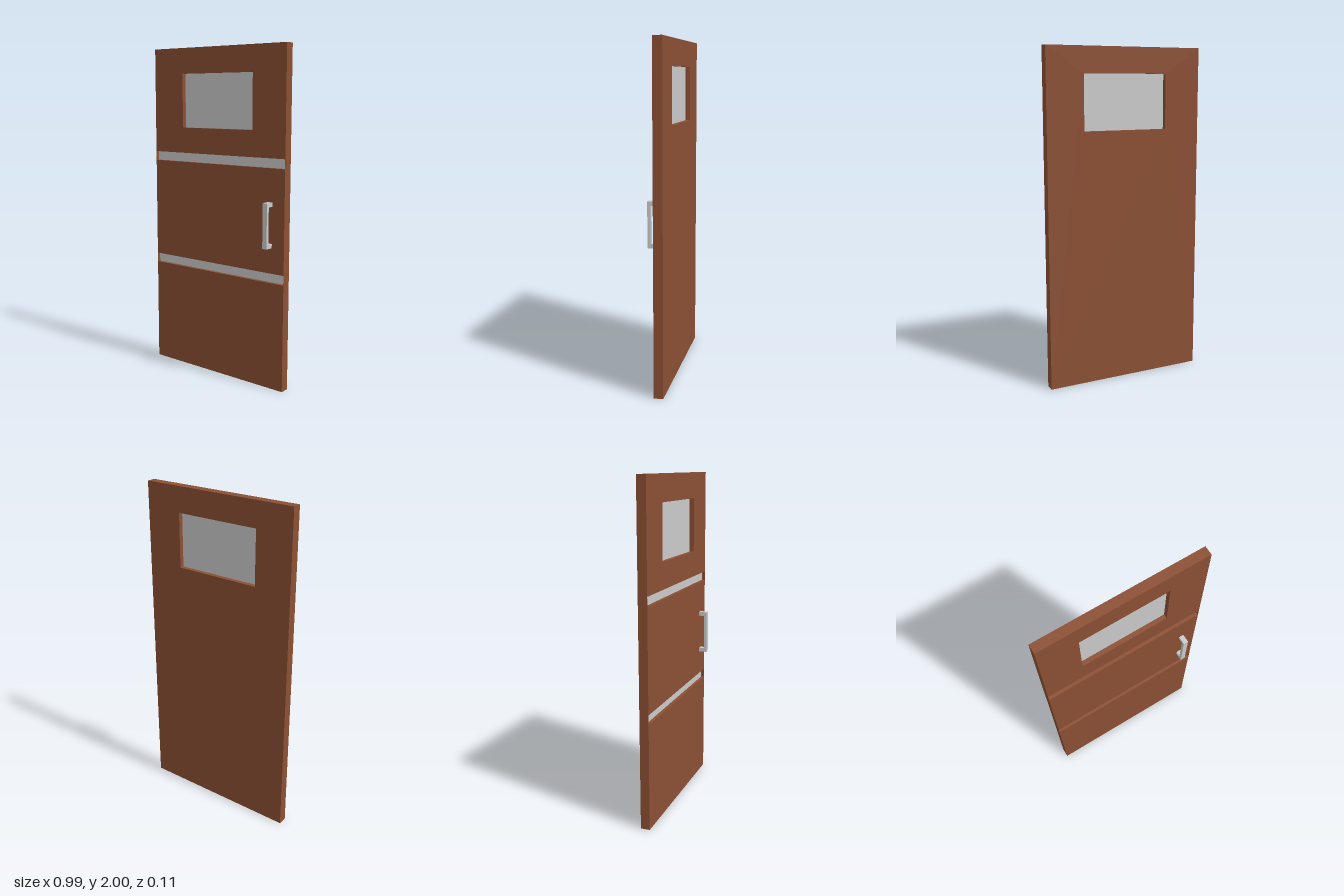
import * as THREE from 'three';
import { mergeGeometries } from 'three/addons/utils/BufferGeometryUtils.js';

const BACK = -0.055, FLOOR = -0.02, EDGE = 0.495;
const outline = [-EDGE, 0, EDGE, 2];               // x0, y0, x1, y1
const windowRect = [-0.266, 1.52, 0.266, 1.847];
const grooves = [
  [-EDGE + 0.001, 0.642, EDGE - 0.001, 0.699],
  [-EDGE + 0.001, 1.309, EDGE - 0.001, 1.365],
];

const corners = ([x0, y0, x1, y1]) => [[x0, y0], [x1, y0], [x1, y1], [x0, y1]];
const toPoints = (r) => corners(r).map(([x, y]) => new THREE.Vector2(x, y));

// Flat face with rectangular openings, facing +z or -z
function face(rect, holes, z, backward = false) {
  const shape = new THREE.Shape(toPoints(rect));
  for (const h of holes) shape.holes.push(new THREE.Path(toPoints(h).reverse()));
  const geo = new THREE.ShapeGeometry(shape);
  if (backward) geo.rotateY(Math.PI);              // every rect is symmetric in x
  return geo.translate(0, 0, z);
}

// Four walls around a rectangle, facing outward, or inward for an opening
function walls(rect, z0, z1, inward = false) {
  const c = corners(rect);
  const quads = c.map(([ax, ay], i) => {
    const [bx, by] = c[(i + 1) % 4];
    const length = Math.hypot(bx - ax, by - ay);
    const geo = new THREE.PlaneGeometry(length, z1 - z0);
    geo.rotateX(inward ? -Math.PI / 2 : Math.PI / 2);
    if (!inward) geo.rotateY(0);
    geo.rotateZ(Math.atan2(by - ay, bx - ax));
    return geo.translate((ax + bx) / 2, (ay + by) / 2, (z0 + z1) / 2);
  });
  return mergeGeometries(quads);
}

export function createModel() {
  const group = new THREE.Group();
  const wood = new THREE.MeshStandardMaterial({ color: 0x8c5034 });
  const grey = new THREE.MeshStandardMaterial({ color: 0xcccccc });
  const glass = new THREE.MeshStandardMaterial({ color: 0xcccccc, side: THREE.DoubleSide });
  const add = (name, geo, mat) => {
    const mesh = new THREE.Mesh(geo, mat);
    mesh.name = name;
    group.add(mesh);
  };

  // Door slab with a window opening and two shallow grooves
  add('doorPanel', mergeGeometries([
    face(outline, [windowRect, ...grooves], 0),
    face(outline, [windowRect], BACK, true),
    walls(outline, BACK, 0),
    walls(windowRect, BACK, 0, true),
    ...grooves.map((g) => walls(g, FLOOR, 0, true)),
  ]), wood);

  // Inlaid strips at the bottom of the grooves
  grooves.forEach((g, i) => add(i ? 'upperStrip' : 'lowerStrip', face(g, [], FLOOR), grey));

  // Window pane halfway through the slab
  add('windowPane', face(windowRect, [], BACK / 2), glass);

  // Pull handle: C-shaped profile in z and y, extruded across x
  const profile = [[0, 0.85], [0.052, 0.85], [0.052, 1.115], [0, 1.115],
    [0, 1.09], [0.034, 1.09], [0.034, 0.875], [0, 0.875]];
  const handle = new THREE.ExtrudeGeometry(
    new THREE.Shape(profile.map(([z, y]) => new THREE.Vector2(z, y))),
    { depth: 0.03, bevelEnabled: false });
  handle.rotateY(-Math.PI / 2).translate(0.411, 0, 0);
  add('handle', handle, grey);

  return group;
}
